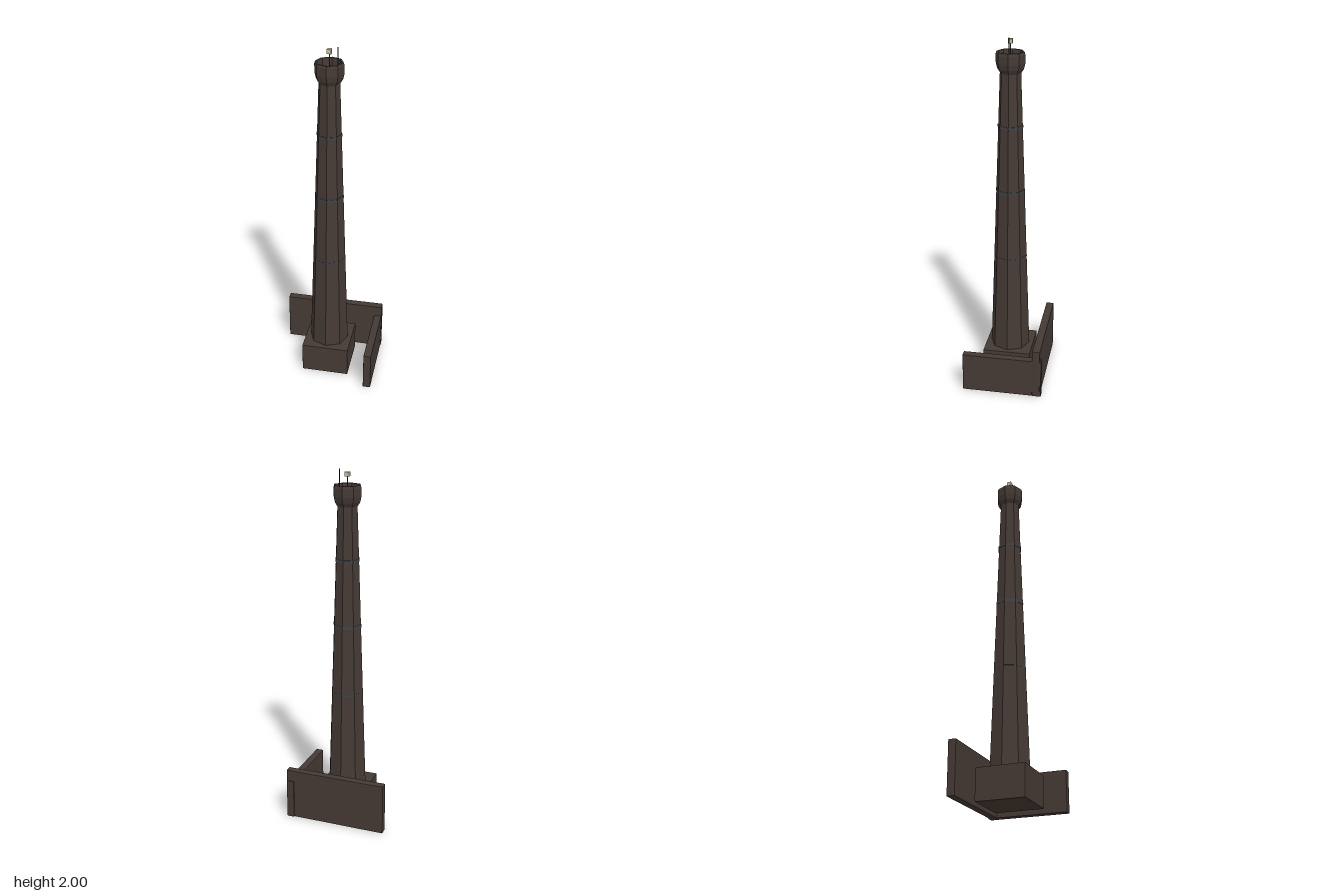
import * as THREE from 'three';
import { RoundedBoxGeometry } from 'three/addons/geometries/RoundedBoxGeometry.js';

const material = (color) => new THREE.MeshStandardMaterial({ color, flatShading: true });

export function createModel() {
  const model = new THREE.Group();
  const brick = material(0x453a35);
  const iron = material(0x3c4448);
  const dark = material(0x202028);
  const lamp = material(0xc8c0a0);

  const add = (name, geometry, mat, x = 0, y = 0, z = 0) => {
    const mesh = new THREE.Mesh(geometry, mat);
    mesh.name = name;
    mesh.position.set(x, y, z);
    model.add(mesh);
  };
  // Softly bevelled block standing on the ground
  const block = (name, w, h, d, x, z) =>
    add(name, new RoundedBoxGeometry(w, h, d, 1, 0.004), brick, x, h / 2, z);

  // Plinth and the two walls that meet at the back corner
  block('plinth', 0.276, 0.18, 0.276, 0, 0);
  block('backWall', 0.588, 0.295, 0.045, 0, -0.198);
  block('sideWall', 0.044, 0.23, 0.456, 0.27, 0);

  // Tapered octagonal shaft
  const y0 = 0.17, y1 = 1.82, r0 = 0.114, r1 = 0.057;
  const radiusAt = (y) => r0 + (r1 - r0) * (y - y0) / (y1 - y0);
  add('shaft', new THREE.CylinderGeometry(r1, r0, y1 - y0, 8), brick, 0, (y0 + y1) / 2);

  // Iron bands, prouder towards the top
  [[0.75, 0.008, 0.001], [1.147, 0.016, 0.002], [1.517, 0.014, 0.003]].forEach(([y, h, proud]) => {
    const r = radiusAt(y) + proud;
    add('ironBand', new THREE.CylinderGeometry(r, r, h, 8), iron, 0, y);
  });

  // Flared crown with a recessed floor
  const crown = [
    [0.056, 1.805], [0.072, 1.83], [0.079, 1.86], [0.079, 1.905], [0.075, 1.92],
    [0.066, 1.92], [0.061, 1.87], [0, 1.87],
  ].map(([r, y]) => new THREE.Vector2(r, y));
  add('crown', new THREE.LatheGeometry(crown, 8), brick);

  // Beacon on its post, and the lightning rod
  add('beaconPost', new THREE.CylinderGeometry(0.0025, 0.0025, 0.1, 6), iron, 0, 1.915);
  add('beacon', new THREE.BoxGeometry(0.024, 0.024, 0.024), lamp, 0, 1.975);
  add('lightningRod', new THREE.CylinderGeometry(0.002, 0.003, 0.135, 6), dark, 0.045, 1.9325);

  return model;
}
